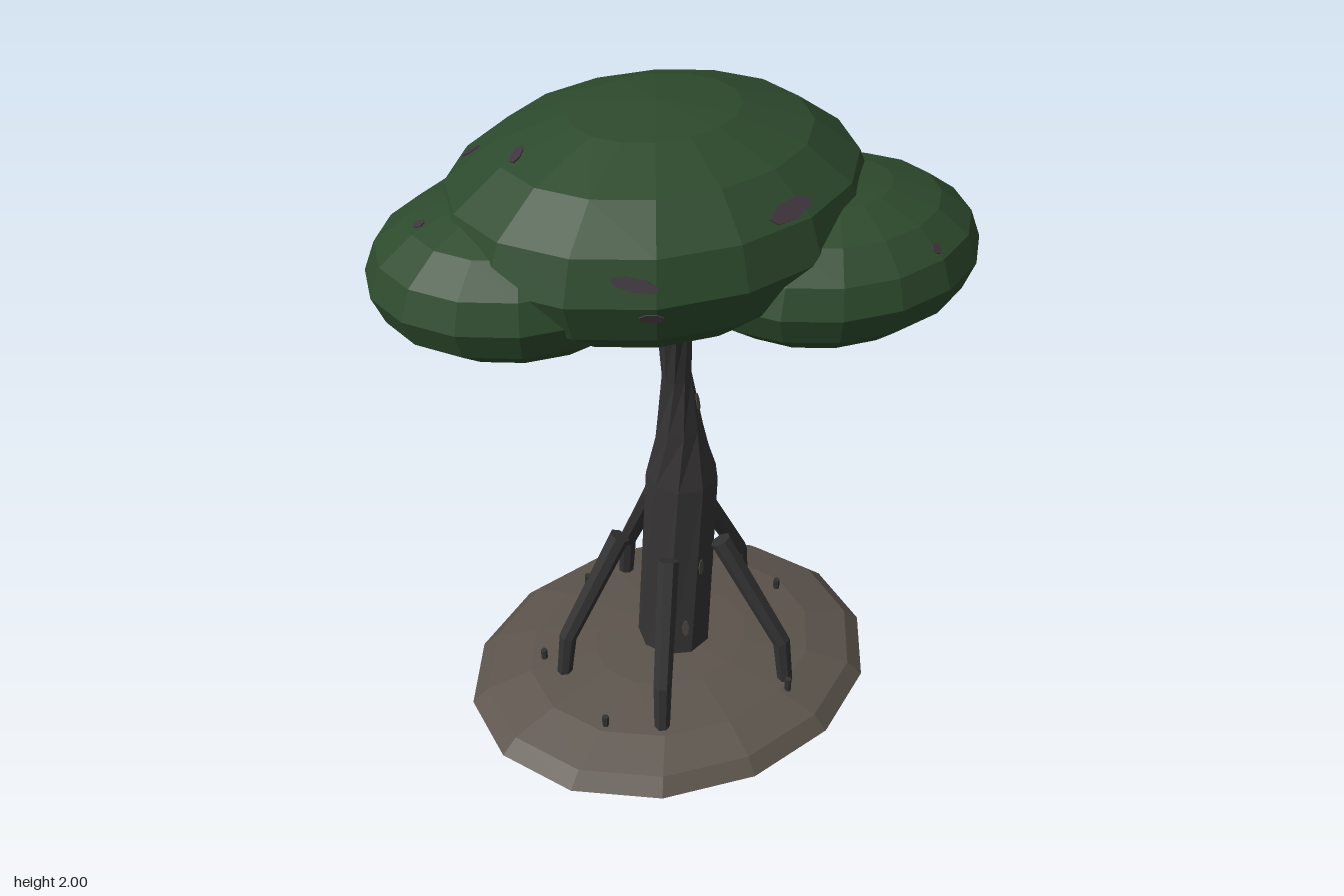
import * as THREE from 'three';

const mat = (name, color) => {
  const m = new THREE.MeshStandardMaterial({ color, flatShading: true });
  m.name = name;
  return m;
};

// Tapered limb: each section is [x, y, z, radius, twist]
function limb(sections, sides) {
  const n = sections.length - 1;
  const geo = new THREE.CylinderGeometry(1, 1, 1, sides, n);
  const pts = sections.map((s) => new THREE.Vector3(s[0], s[1], s[2]));
  const up = new THREE.Vector3(0, 1, 0);
  const turns = pts.map((p, i) => {
    const dir = pts[Math.min(i + 1, n)].clone().sub(pts[Math.max(i - 1, 0)]).normalize();
    return new THREE.Quaternion().setFromUnitVectors(up, dir);
  });
  const pos = geo.attributes.position;
  const v = new THREE.Vector3();
  for (let i = 0; i < pos.count; i++) {
    const row = Math.round((pos.getY(i) + 0.5) * n);
    const [, , , r, twist = 0] = sections[row];
    v.set(pos.getX(i) * r, 0, pos.getZ(i) * r).applyAxisAngle(up, twist);
    v.applyQuaternion(turns[row]).add(pts[row]);
    pos.setXYZ(i, v.x, v.y, v.z);
  }
  geo.computeVertexNormals();
  return geo;
}

// Faceted ellipsoid with its first seam facing +z
function blob(center, radii, sides, rows) {
  const geo = new THREE.SphereGeometry(1, sides, rows);
  geo.rotateY(Math.PI / 2).scale(...radii).translate(...center);
  return geo;
}

export function createModel() {
  const group = new THREE.Group();
  const soil = mat('soil', 0x5c544c);
  const bark = mat('bark', 0x353333);
  const rootBark = mat('root bark', 0x323233);
  const leaf = mat('foliage', 0x2d4a2d);
  const bloom = mat('dusky bloom', 0x40363f);
  const lichen = mat('lichen', 0x4c4842);

  const add = (name, geo, material) => {
    const mesh = new THREE.Mesh(geo, material);
    mesh.name = name;
    group.add(mesh);
    return mesh;
  };

  // Ground mound
  add('mound', blob([-0.02, 0.12, 0.01], [0.635, 0.116, 0.53], 14, 8), soil);

  // Twisting trunk, swollen at mid height
  const trunk = add('trunk', limb([
    [-0.005, 0.17, 0, 0.112, 0],
    [0.036, 0.835, -0.023, 0.106, 0.1],
    [0.022, 1.02, -0.016, 0.066, 0.4],
    [0.01, 1.2, -0.008, 0.042, 0.75],
    [-0.008, 1.42, 0.005, 0.05, 1.1],
    [-0.015, 1.6, 0.005, 0.05, 1.3],
  ], 9), bark);

  // Prop roots: foot and tip positions on the ground plan
  const roots = [
    [-0.37, -0.02, -0.175, -0.01],
    [-0.205, 0.31, -0.1, 0.15],
    [0.215, 0.31, 0.075, 0.14],
    [0.31, -0.13, 0.12, -0.05],
    [0.0, -0.345, 0.0, -0.14],
  ];
  roots.forEach(([fx, fz, tx, tz]) => {
    add('propRoot', limb([
      [fx, 0.19, fz, 0.023],
      [fx * 0.95, 0.35, fz * 0.95, 0.027],
      [tx, 0.685, tz, 0.031],
    ], 7), rootBark);
  });

  // Little shoots on the mound
  [[-0.35, 0.23], [0.2, 0.35], [0.39, -0.04], [0.09, -0.32], [-0.14, -0.34], [-0.4, -0.1]]
    .forEach(([x, z]) => {
      const geo = new THREE.CylinderGeometry(0.01, 0.01, 0.07, 6).translate(x, 0.205, z);
      add('shoot', geo, rootBark);
    });

  // Canopy lobes
  const crown = add('crown', blob([-0.02, 1.71, -0.067], [0.585, 0.29, 0.4775], 16, 8), leaf);
  const lobeA = add('leftLobe', blob([0.365, 1.595, 0.165], [0.41, 0.205, 0.335], 16, 8), leaf);
  const lobeB = add('rightLobe', blob([-0.37, 1.63, -0.1], [0.41, 0.205, 0.35], 16, 8), leaf);

  // Thin patch laid on the face that a ray strikes
  const patch = (name, target, from, dir, w, h, spin, material) => {
    const ray = new THREE.Raycaster(new THREE.Vector3(...from), new THREE.Vector3(...dir));
    const hit = ray.intersectObject(target)[0];
    if (!hit) return;
    const mesh = add(name, new THREE.CylinderGeometry(1, 1, 0.004, 7).rotateX(Math.PI / 2), material);
    mesh.position.copy(hit.point).addScaledVector(hit.face.normal, 0.001);
    mesh.lookAt(mesh.position.clone().add(hit.face.normal));
    mesh.rotateZ(spin);
    mesh.scale.set(w / 2, h / 2, 1);
  };
  const FRONT = [0, 0, -1], DOWN = [0, -1, 0], SIDE = [-1, 0, 0], BACK = [0, 0, 1];

  // Dusky blooms on the foliage
  patch('bloom', crown, [-0.28, 1.765, 3], FRONT, 0.12, 0.035, -0.2, bloom);
  patch('bloom', crown, [-0.25, 1.68, 3], FRONT, 0.06, 0.03, 0, bloom);
  patch('bloom', crown, [0.14, 1.845, 3], FRONT, 0.14, 0.05, 0.15, bloom);
  patch('bloom', crown, [-0.425, 3, -0.29], DOWN, 0.03, 0.08, -0.4, bloom);
  patch('bloom', crown, [-0.385, 3, -0.08], DOWN, 0.07, 0.03, -0.5, bloom);
  patch('bloom', lobeA, [0.5, 1.695, 3], FRONT, 0.03, 0.03, 0, bloom);
  patch('bloom', lobeB, [-0.63, 3, -0.125], DOWN, 0.03, 0.03, 0, bloom);

  // Lichen flecks on the trunk
  [[-0.05, 0.46], [-0.015, 0.33], [0.04, 0.55]].forEach(([x, y]) => {
    patch('lichenFleck', trunk, [x, y, 3], FRONT, 0.022, 0.06, 0, lichen);
    patch('lichenFleck', trunk, [-x, y, -3], BACK, 0.022, 0.06, 0, lichen);
  });
  patch('lichenFleck', trunk, [3, 0.53, 0.05], SIDE, 0.02, 0.06, 0, lichen);
  patch('lichenFleck', trunk, [3, 1.1, 0.01], SIDE, 0.02, 0.06, 0, lichen);

  return group;
}
